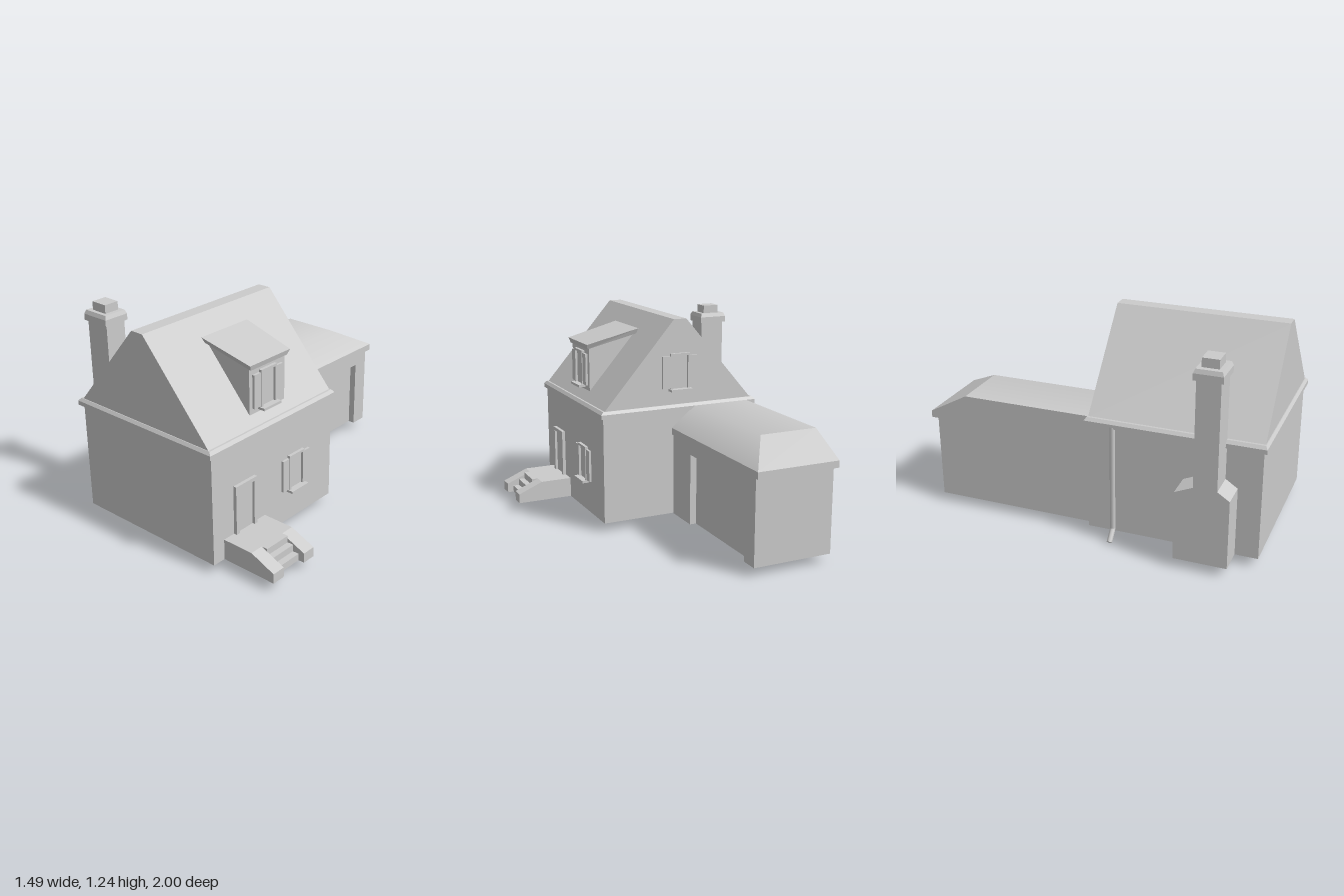
import * as THREE from 'three';

const material = new THREE.MeshStandardMaterial({ color: 0xcccccc });

function add(parent, name, geometry) {
  const mesh = new THREE.Mesh(geometry, material);
  mesh.name = name;
  parent.add(mesh);
  return mesh;
}

// Axis-aligned box given by its limits
function box(parent, name, x0, x1, y0, y1, z0, z1) {
  const g = new THREE.BoxGeometry(x1 - x0, y1 - y0, z1 - z0);
  g.translate((x0 + x1) / 2, (y0 + y1) / 2, (z0 + z1) / 2);
  return add(parent, name, g);
}

// Flat-shaded solid between two four-cornered sections, corners counterclockwise from above
function loft(parent, name, bottom, top) {
  const g = new THREE.BufferGeometry();
  g.setAttribute('position', new THREE.Float32BufferAttribute([...bottom, ...top].flat(), 3));
  const index = [0, 2, 1, 0, 3, 2, 4, 5, 6, 4, 6, 7];
  for (let i = 0; i < 4; i++) {
    const j = (i + 1) % 4;
    index.push(i, j, j + 4, i, j + 4, i + 4);
  }
  g.setIndex(index);
  const flat = g.toNonIndexed();
  flat.computeVertexNormals();
  return add(parent, name, flat);
}

const rect = (x0, x1, y, z0, z1) => [[x0, y, z1], [x1, y, z1], [x1, y, z0], [x0, y, z0]];

function extrude(points, depth, holes = []) {
  const shape = new THREE.Shape(points.map(([x, y]) => new THREE.Vector2(x, y)));
  for (const h of holes) shape.holes.push(new THREE.Path(h.map(([x, y]) => new THREE.Vector2(x, y))));
  return new THREE.ExtrudeGeometry(shape, { depth, bevelEnabled: false });
}

// Profile in x and y, running from z0 to z1
function prism(parent, name, points, z0, z1) {
  return add(parent, name, extrude(points, z1 - z0).translate(0, 0, z0));
}

const corners = (w, h, y = 0) => [[-w, y], [w, y], [w, h], [-w, h]];

// Shuttered window facing +z, with its sill at the local origin
function makeWindow(name) {
  const w = new THREE.Group();
  w.name = name;
  add(w, 'windowFrame', extrude(corners(0.063, 0.225), 0.018, [corners(0.049, 0.211, 0.014)]));
  box(w, 'windowPane', -0.05, 0.05, 0.01, 0.215, -0.01, 0.004);
  box(w, 'windowSill', -0.07, 0.07, 0, 0.014, 0, 0.043);
  for (const s of [-1, 1]) {
    const x = s * 0.088;
    box(w, 'shutter', x - 0.026, x + 0.026, 0.018, 0.21, 0, 0.014);
  }
  return w;
}

export function createModel() {
  const house = new THREE.Group();
  house.name = 'house';

  // Main block with eave moulding and gable roof
  box(house, 'houseWalls', -0.575, 0.4, 0.055, 0.7, 0, 0.98);
  box(house, 'eaveMoulding', -0.6, 0.415, 0.69, 0.715, -0.012, 1);
  loft(house, 'eaveChamfer', rect(-0.6, 0.415, 0.715, -0.012, 1), rect(-0.585, 0.4, 0.732, 0, 0.988));
  prism(house, 'mainRoof', [[-0.572, 0.73], [0.39, 0.73], [-0.055, 1.24], [-0.135, 1.24]], 0.004, 0.984);

  // Dormer on the right-hand roof slope
  const dormer = new THREE.Group();
  dormer.name = 'dormer';
  house.add(dormer);
  prism(dormer, 'dormerWalls', [[0.345, 0.78], [0.345, 1.05], [0.06, 1.12], [0.04, 1.1]], 0.347, 0.628);
  loft(dormer, 'dormerRoof',
    [[0.05, 1.12, 0.645], [0.358, 1.04, 0.63], [0.358, 1.04, 0.34], [0.05, 1.12, 0.315]],
    [[0.04, 1.152, 0.66], [0.366, 1.07, 0.642], [0.366, 1.07, 0.325], [0.04, 1.152, 0.303]]);

  // Windows: ground floor, dormer and rear gable
  for (const [name, x, y, z, turn] of [
    ['sideWindow', 0.4, 0.238, 0.318, Math.PI / 2],
    ['dormerWindow', 0.345, 0.795, 0.49, Math.PI / 2],
    ['rearWindow', -0.09, 0.815, 0.003, Math.PI],
  ]) {
    const w = makeWindow(name);
    w.position.set(x, y, z);
    w.rotation.y = turn;
    house.add(w);
  }

  // Entrance door
  const door = new THREE.Group();
  door.name = 'frontDoor';
  door.position.set(0.4, 0.17, 0.74);
  door.rotation.y = Math.PI / 2;
  add(door, 'doorFrame', extrude(corners(0.082, 0.292), 0.02, [corners(0.06, 0.27, 0.001)]));
  box(door, 'doorLeaf', -0.062, 0.062, 0, 0.272, -0.01, 0.005);
  house.add(door);

  // Stoop with steps between sloping cheek walls
  const stoop = new THREE.Group();
  stoop.name = 'stoop';
  house.add(stoop);
  const cheek = [[0.39, 0.055], [0.742, 0.055], [0.742, 0.112], [0.592, 0.175], [0.39, 0.175]];
  prism(stoop, 'cheekWall', cheek, 0.575, 0.655);
  prism(stoop, 'cheekWall', cheek, 0.82, 0.9);
  prism(stoop, 'steps', [[0.39, 0.055], [0.705, 0.055], [0.705, 0.095], [0.667, 0.095],
    [0.667, 0.135], [0.63, 0.135], [0.63, 0.175], [0.39, 0.175]], 0.655, 0.82);

  // Chimney: broad base, shoulders, stack, cap and flue
  const chimney = new THREE.Group();
  chimney.name = 'chimney';
  house.add(chimney);
  box(chimney, 'chimneyBase', -0.73, -0.57, 0.055, 0.455, 0.55, 0.85);
  loft(chimney, 'chimneyShoulder', rect(-0.73, -0.57, 0.455, 0.55, 0.85), rect(-0.73, -0.57, 0.5, 0.652, 0.782));
  box(chimney, 'chimneyStack', -0.73, -0.575, 0.5, 1.1, 0.652, 0.782);
  box(chimney, 'chimneyCap', -0.744, -0.564, 1.1, 1.137, 0.638, 0.796);
  loft(chimney, 'capChamfer', rect(-0.744, -0.564, 1.137, 0.638, 0.796), rect(-0.735, -0.573, 1.16, 0.647, 0.787));
  box(chimney, 'flue', -0.705, -0.6, 1.16, 1.21, 0.67, 0.763);

  // Downpipe with kicked-out foot
  const pipe = new THREE.CurvePath();
  const bends = [[-0.588, 0.7], [-0.588, 0.07], [-0.64, 0.012]].map(([x, y]) => new THREE.Vector3(x, y, 0.15));
  for (let i = 1; i < bends.length; i++) pipe.add(new THREE.LineCurve3(bends[i - 1], bends[i]));
  add(house, 'downpipe', new THREE.TubeGeometry(pipe, 48, 0.016, 8));
  const end = add(house, 'downpipeEnd', new THREE.CircleGeometry(0.016, 8));
  end.position.copy(bends[2]);
  end.lookAt(bends[2].clone().multiplyScalar(2).sub(bends[1]));

  // Garage wing with a recessed door on its right side
  const garage = new THREE.Group();
  garage.name = 'garage';
  house.add(garage);
  box(garage, 'garageBody', -0.53, -0.09, 0.053, 0.55, -0.965, 0);
  const wall = add(garage, 'garageDoorWall', extrude(
    [[0, 0.053], [0.225, 0.053], [0.225, 0.48], [0.86, 0.48], [0.86, 0.053],
      [0.965, 0.053], [0.965, 0.55], [0, 0.55]], 0.04));
  wall.rotation.y = Math.PI / 2;
  wall.position.x = -0.09;

  box(garage, 'garageEave', -0.54, -0.04, 0.55, 0.59, -1, 0);
  const roof = loft(garage, 'garageRoof', rect(-0.54, -0.04, 0.59, -1, 0), rect(-0.54, -0.19, 0.715, -0.77, 0));
  // Soften the ridge between the flat top and the right-hand slope
  const { position: p, normal: n } = roof.geometry.attributes;
  for (let i = 0; i < p.count; i++) {
    if (Math.abs(p.getX(i) + 0.19) < 0.01 && Math.abs(n.getZ(i)) < 0.1 && n.getY(i) > 0.1) n.setXYZ(i, 0.34, 0.94, 0);
  }

  return house;
}
